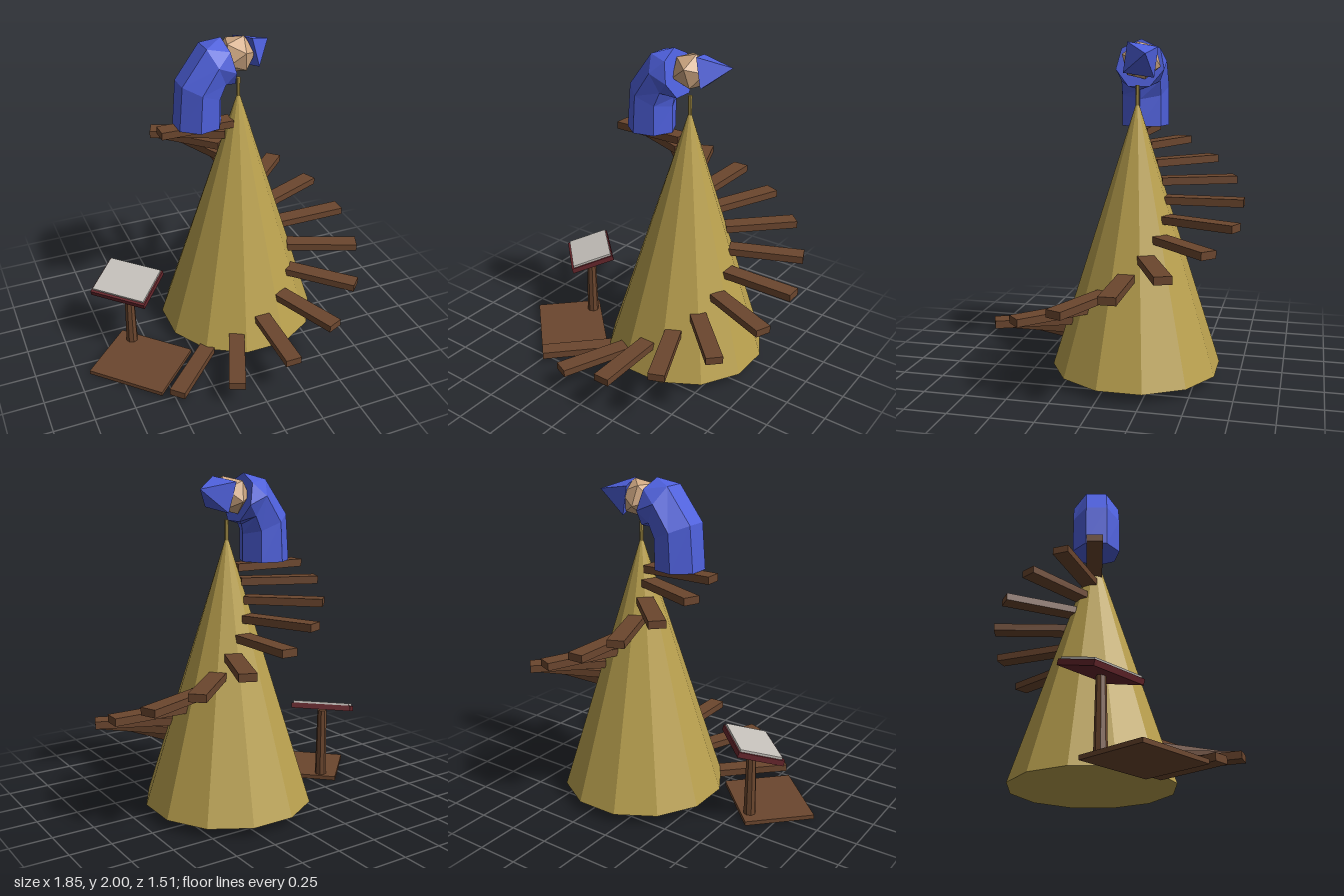
import * as THREE from 'three';

const material = (name, color) => {
  const m = new THREE.MeshStandardMaterial({ color });
  m.name = name;
  return m;
};

// Faceted normals for the low-poly look
function faceted(geometry) {
  const g = geometry.index ? geometry.toNonIndexed() : geometry;
  g.computeVertexNormals();
  return g;
}

function addMesh(parent, name, geometry, mat, x = 0, y = 0, z = 0) {
  const mesh = new THREE.Mesh(faceted(geometry), mat);
  mesh.name = name;
  mesh.position.set(x, y, z);
  parent.add(mesh);
  return mesh;
}

// Closed loft through seven-sided rings; tilt leans a ring's axis from +y towards +x
function loftRings(rings, sides = 7) {
  const positions = [];
  const point = ({ c, r, tilt, roll = 0 }, i) => {
    const a = (i / sides) * Math.PI * 2 + roll;
    const u = r * Math.cos(a);
    return [c[0] + u * Math.cos(tilt), c[1] - u * Math.sin(tilt), c[2] + r * Math.sin(a)];
  };
  const tri = (...corners) => corners.forEach((p) => positions.push(...p));
  const first = rings[0];
  const last = rings[rings.length - 1];
  for (let i = 0; i < sides; i++) {
    for (let k = 0; k < rings.length - 1; k++) {
      const a = point(rings[k], i), b = point(rings[k], i + 1);
      const c = point(rings[k + 1], i), d = point(rings[k + 1], i + 1);
      tri(a, c, b);
      tri(b, c, d);
    }
    tri(first.c, point(first, i), point(first, i + 1));
    tri(last.c, point(last, i + 1), point(last, i));
  }
  const g = new THREE.BufferGeometry();
  g.setAttribute('position', new THREE.Float32BufferAttribute(positions, 3));
  return g;
}

export function createModel() {
  const model = new THREE.Group();
  model.name = 'spiralStairTower';
  const gold = material('gold', 0xb9a04e);
  const wood = material('brown wood', 0x6b462e);
  const blue = material('blue cloth', 0x4e60dc);
  const skin = material('tan skin', 0xd2aa84);
  const maroon = material('maroon cover', 0x66262c);
  const paper = material('pale paper', 0xc6c2bc);

  const cx = 0.17, cz = -0.13;

  // Twelve-sided cone with a thin rod at its tip
  const cone = new THREE.ConeGeometry(0.507, 1.6, 12);
  cone.rotateY(Math.PI / 12);
  addMesh(model, 'tower', cone, gold, cx, 0.86, cz);
  addMesh(model, 'towerRod', new THREE.CylinderGeometry(0.012, 0.012, 0.16, 8), gold, cx, 1.66, cz);

  // Steps winding up the cone, drawing closer to the axis as they rise
  const stairs = new THREE.Group();
  stairs.name = 'stairs';
  model.add(stairs);
  const length = 0.455;
  for (let i = 0; i < 15; i++) {
    const angle = ((i - 2) * Math.PI) / 8;
    const radius = 0.943 - 0.0315 * i - length / 2;
    const y = i === 14 ? 1.465 : 0.053 + 0.1025 * i;
    const step = addMesh(stairs, 'step', new THREE.BoxGeometry(0.1, 0.045, length), wood,
      cx + Math.sin(angle) * radius, y, cz + Math.cos(angle) * radius);
    step.rotation.y = angle;
  }

  // Lectern: floor plate, post and tilted book
  const plate = addMesh(model, 'lecternBase', new THREE.BoxGeometry(0.505, 0.026, 0.43), wood, -0.597, 0.014, 0.133);
  plate.rotation.y = -Math.PI / 4;
  addMesh(model, 'lecternPost', new THREE.CylinderGeometry(0.029, 0.038, 0.44, 8), wood, -0.59, 0.245, -0.088);
  const book = new THREE.Group();
  book.name = 'book';
  book.position.set(-0.597, 0.485, -0.088);
  book.rotation.set(0.29, -Math.PI / 4, 0, 'YXZ');
  model.add(book);
  addMesh(book, 'bookCover', new THREE.BoxGeometry(0.375, 0.034, 0.285), maroon);
  addMesh(book, 'bookPages', new THREE.BoxGeometry(0.355, 0.014, 0.26), paper, 0, 0.024, -0.004);

  // Robed figure bending over the tip
  const figure = new THREE.Group();
  figure.name = 'figure';
  model.add(figure);
  addMesh(figure, 'robe', loftRings([
    { c: [-0.095, 1.49, -0.12], r: 0.15, tilt: 0 },
    { c: [-0.085, 1.71, -0.12], r: 0.15, tilt: 0.4 },
    { c: [0.0, 1.845, -0.123], r: 0.15, tilt: 1.13 },
    { c: [0.09, 1.86, -0.128], r: 0.148, tilt: 1.33, roll: Math.PI / 7 },
  ]), blue);
  const head = addMesh(figure, 'head', new THREE.IcosahedronGeometry(0.117, 0), skin, 0.16, 1.88, -0.15);
  head.rotation.set(0.25, 0.3, 0.15);

  // Pointed four-sided hat
  const hatBase = new THREE.Vector3(0.228, 1.885, -0.16);
  const hatTip = new THREE.Vector3(0.397, 1.92, -0.22);
  const axis = hatTip.clone().sub(hatBase);
  const hatCone = new THREE.ConeGeometry(0.127, axis.length(), 4);
  hatCone.rotateY(Math.PI / 4 + 0.18);
  const hat = addMesh(figure, 'hat', hatCone, blue);
  hat.position.copy(hatBase).add(hatTip).multiplyScalar(0.5);
  hat.quaternion.setFromUnitVectors(new THREE.Vector3(0, 1, 0), axis.normalize());

  return model;
}
